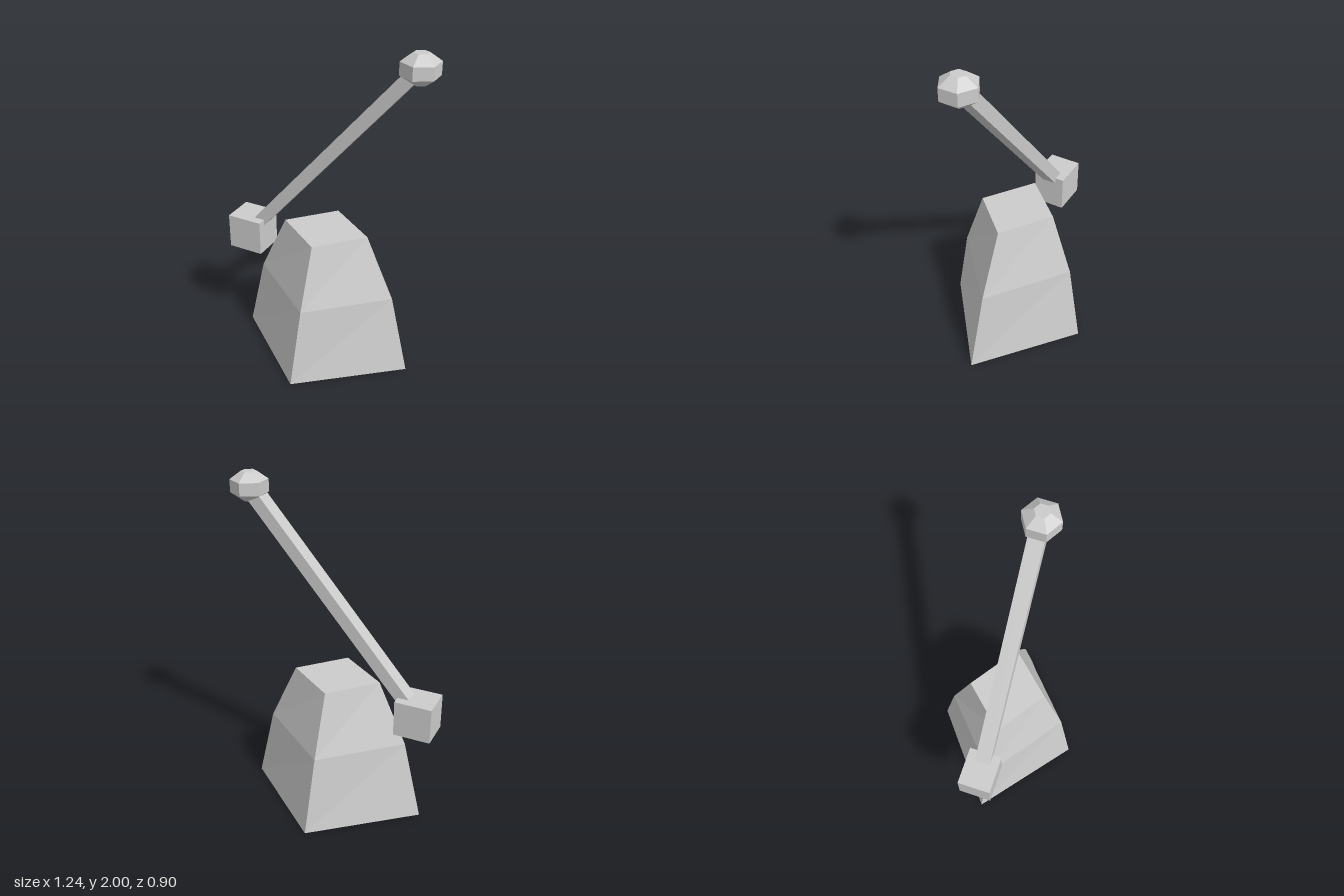
import * as THREE from 'three';

const flat = (geometry) => {
  const g = geometry.index ? geometry.toNonIndexed() : geometry;
  g.computeVertexNormals();
  return g;
};

// Closed solid joining stacked rings of corners (front, right, back, left)
function loft(rings) {
  const n = rings[0].length;
  const last = (rings.length - 1) * n;
  const index = [];
  for (let r = 0; r < rings.length - 1; r++) {
    for (let i = 0; i < n; i++) {
      const a = r * n + i, b = r * n + (i + 1) % n;
      index.push(a, b, b + n, a, b + n, a + n);
    }
  }
  for (let i = 1; i < n - 1; i++) {
    index.push(0, i + 1, i, last, last + i, last + i + 1);
  }
  const g = new THREE.BufferGeometry();
  g.setAttribute('position', new THREE.Float32BufferAttribute(rings.flat(2), 3));
  g.setIndex(index);
  return flat(g);
}

export function createModel() {
  const model = new THREE.Group();
  model.name = 'leverOnPedestal';
  const grey = new THREE.MeshStandardMaterial({ color: 0xcccccc });
  grey.name = 'light grey';

  const add = (name, geometry) => {
    const mesh = new THREE.Mesh(geometry, grey);
    mesh.name = name;
    model.add(mesh);
    return mesh;
  };

  // Tapered diamond pedestal, each level twisted slightly: y, half x, half z, x twist, z twist
  const levels = [
    [0, 0.555, 0.448, 0, 0],
    [0.475, 0.435, 0.355, 0.024, 0.019],
    [0.85, 0.26, 0.223, 0.03, 0.025],
  ];
  const cx = -0.005;
  add('pedestal', loft(levels.map(([y, hx, hz, tx, tz]) => [
    [cx + tx, y, hz], [cx + hx, y, -tz], [cx - tx, y, -hz], [cx - hx, y, tz],
  ])));

  // Counterweight block at the low end
  const low = new THREE.Vector3(-0.515, 0.712, 0);
  add('counterweight', flat(new THREE.BoxGeometry(0.22, 0.216, 0.194))).position.copy(low);

  // Six-sided knob at the high end
  const high = new THREE.Vector3(0.527, 1.919, 0);
  const profile = [[0, -0.081], [0.043, -0.081], [0.107, -0.036], [0.107, 0.036], [0.043, 0.081], [0, 0.081]];
  const knob = new THREE.LatheGeometry(profile.map(([r, y]) => new THREE.Vector2(r, y)), 6);
  add('knob', flat(knob)).position.copy(high);

  // Slanted lever arm joining block and knob
  const span = high.clone().sub(low);
  const arm = add('leverArm', flat(new THREE.BoxGeometry(span.length(), 0.075, 0.09)));
  arm.position.copy(low).add(high).multiplyScalar(0.5);
  arm.rotation.z = Math.atan2(span.y, span.x);

  return model;
}
